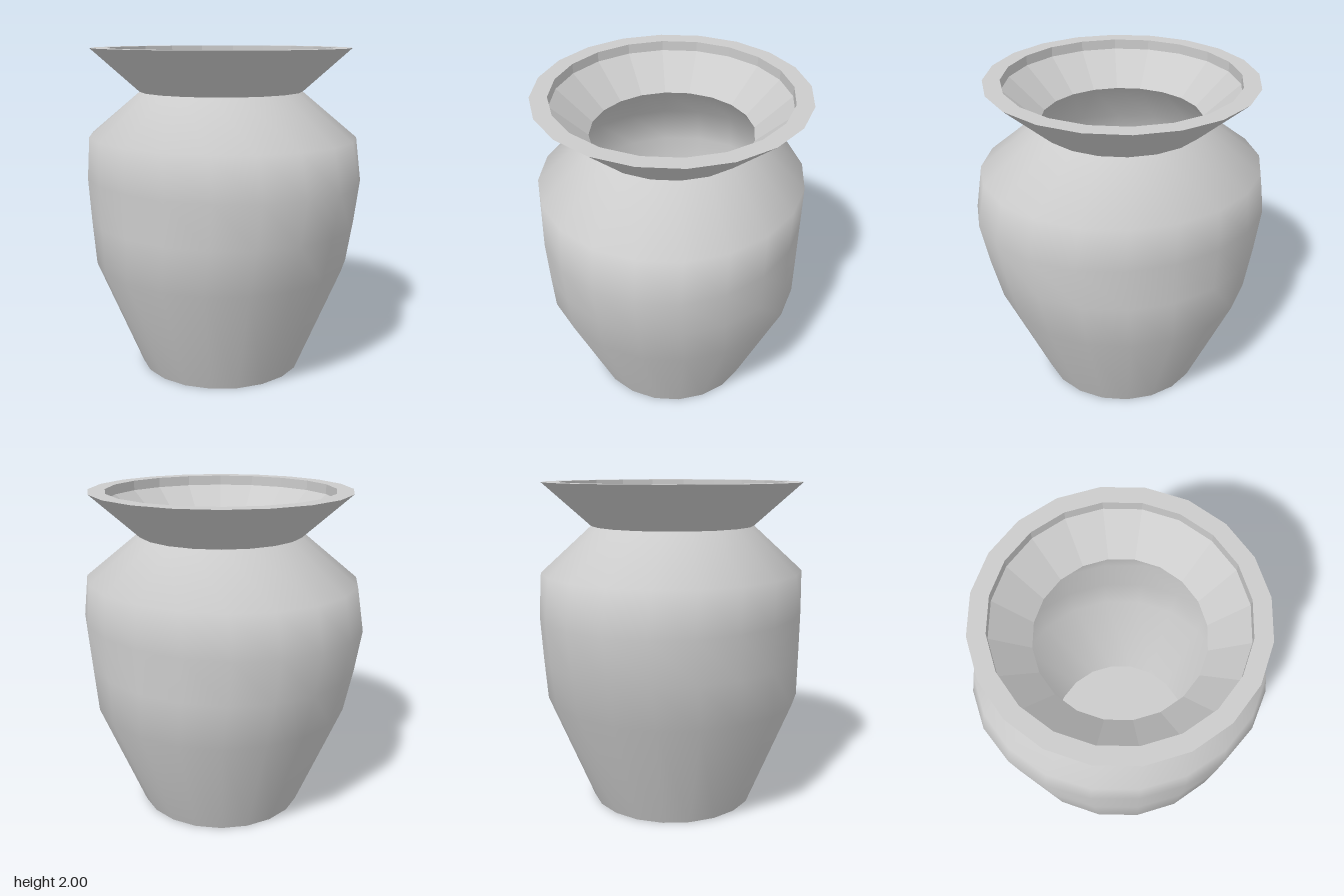
import * as THREE from 'three';
import { mergeVertices } from 'three/addons/utils/BufferGeometryUtils.js';

const SIDES = 20;
const material = new THREE.MeshStandardMaterial({ color: 0xcccccc });
const flatMaterial = new THREE.MeshStandardMaterial({ color: 0xcccccc, flatShading: true });

// Revolves a [radius, height] profile; rings wider than maxX are squashed in x to that half width.
function turned(name, profile, { maxX = Infinity, flat = false } = {}) {
  const points = profile.map(([r, y]) => new THREE.Vector2(r, y));
  const lathe = new THREE.LatheGeometry(points, SIDES);
  lathe.deleteAttribute('uv');
  lathe.deleteAttribute('normal');
  const pos = lathe.attributes.position;
  for (let i = 0; i < pos.count; i++) {
    const r = Math.hypot(pos.getX(i), pos.getZ(i));
    if (r > maxX) pos.setX(i, pos.getX(i) * maxX / r);
  }
  const geometry = mergeVertices(lathe, 1e-4);
  geometry.computeVertexNormals();
  const mesh = new THREE.Mesh(geometry, flat ? flatMaterial : material);
  mesh.name = name;
  return mesh;
}

export function createModel() {
  const vase = new THREE.Group();
  vase.name = 'vase';

  // Body, slightly deeper than it is wide
  const body = [[0.515, 0], [0.795, 0.68], [0.855, 0.95], [0.9, 1.21], [0.85, 1.47], [0.5, 1.74]];
  vase.add(turned('body', body, { maxX: 0.79 }));
  vase.add(turned('base', [[0, 0], [0.515, 0]], { flat: true }));

  // Flared collar with a flat lip
  vase.add(turned('collar', [[0.5, 1.74], [0.79, 2]]));
  vase.add(turned('lip', [[0.79, 2], [0.69, 2]], { flat: true }));
  vase.add(turned('lipInnerEdge', [[0.69, 2], [0.69, 1.94]], { flat: true }));
  vase.add(turned('funnel', [[0.69, 1.94], [0.48, 1.75]], { flat: true }));

  // Hollow inside, following the body
  const hollow = [[0.48, 1.75], [0.8, 1.45], [0.85, 1.21], [0.805, 0.95], [0.745, 0.69], [0.49, 0.06]];
  vase.add(turned('innerWall', hollow, { maxX: 0.74 }));
  vase.add(turned('innerFloor', [[0.49, 0.06], [0, 0.06]], { flat: true }));

  return vase;
}
